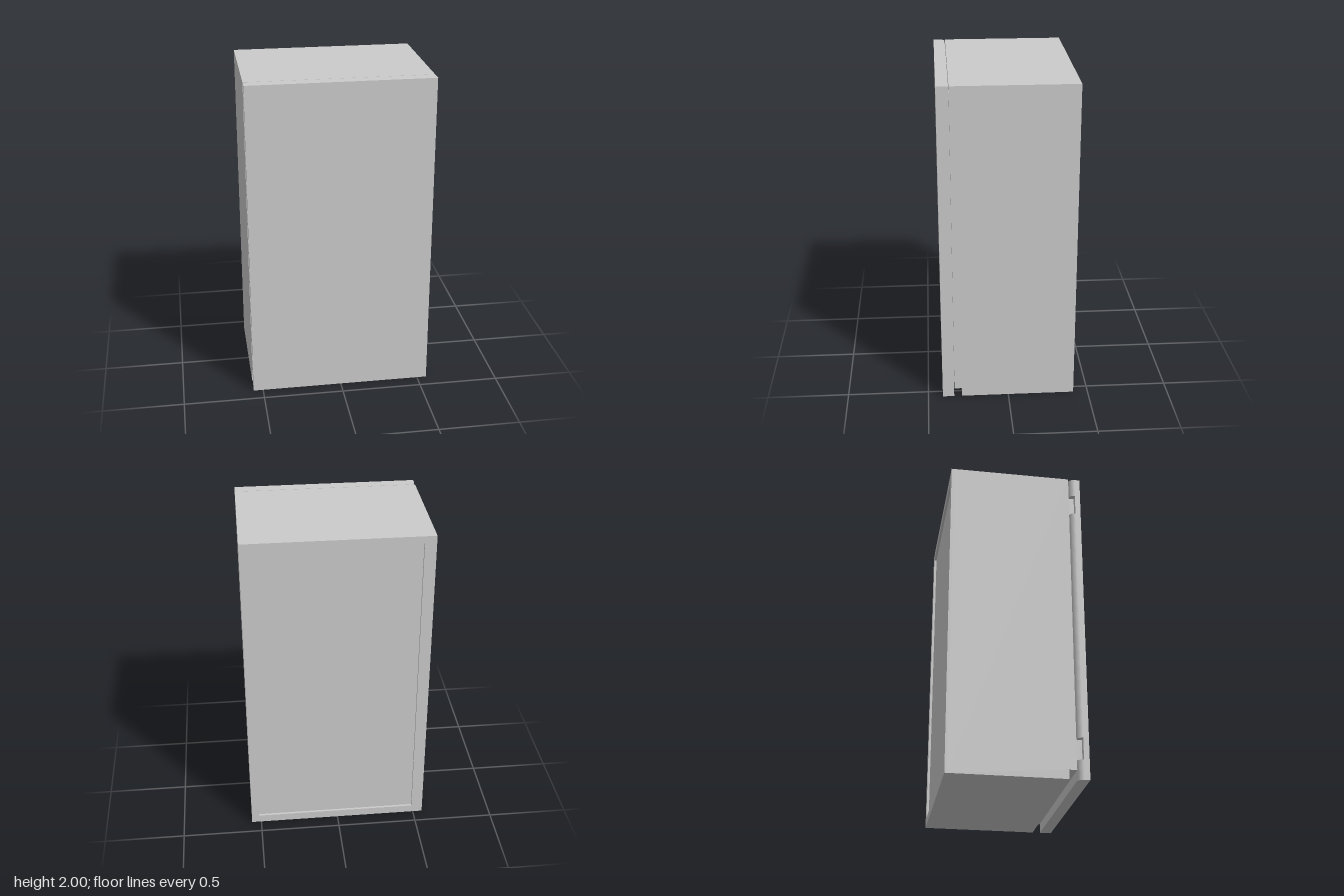
import * as THREE from 'three';

const W = 0.56, H = 2, BACK = -0.41, FRONT = 0.41;
const BODY_FRONT = 0.336, DOOR_BACK = 0.339;

export function createModel() {
  const group = new THREE.Group();
  const material = new THREE.MeshStandardMaterial({ color: 0xcccccc, flatShading: true });
  const add = (name, geometry) => {
    const mesh = new THREE.Mesh(geometry, material);
    mesh.name = name;
    group.add(mesh);
    return mesh;
  };
  const shapeOf = (points) => new THREE.Shape(points.map(([x, y]) => new THREE.Vector2(x, y)));

  // Cabinet: side profile (z, y) with the channel under its front edge, run across x
  const recess = 0.015, innerBack = BACK + recess;
  const side = shapeOf([
    [innerBack, 0], [0.29, 0], [0.29, 0.055], [BODY_FRONT, 0.055], [BODY_FRONT, H], [innerBack, H],
  ]);
  const body = new THREE.ExtrudeGeometry(side, { depth: 2 * W, bevelEnabled: false });
  body.rotateY(-Math.PI / 2).translate(W, 0, 0);
  add('cabinetBody', body);

  // Raised rim around the recessed back panel
  const rim = shapeOf([[-W, 0], [W, 0], [W, H], [-W, H]]);
  const opening = [[-0.49, 0.05], [-0.49, 1.955], [0.515, 1.955], [0.515, 0.05]];
  rim.holes.push(new THREE.Path(opening.map(([x, y]) => new THREE.Vector2(x, y))));
  const rimGeometry = new THREE.ExtrudeGeometry(rim, { depth: recess, bevelEnabled: false });
  add('backRim', rimGeometry.translate(0, 0, BACK));

  // Door plan (x, z): rounded on the hinge side, squared off deeper at the hinge pockets
  const radius = 0.038;
  const doorPlan = (pocket) => {
    const s = new THREE.Shape();
    s.moveTo(W, DOOR_BACK);
    s.lineTo(W, FRONT);
    s.lineTo(-W, FRONT);
    s.lineTo(-W, DOOR_BACK + radius);
    if (pocket) s.lineTo(-W + radius, DOOR_BACK + radius).lineTo(-W + radius, DOOR_BACK);
    else s.absarc(-W + radius, DOOR_BACK + radius, radius, Math.PI, 1.5 * Math.PI, false);
    return s;
  };
  const levels = [0, 0.12, 0.25, 1.75, 1.88, H];
  for (let i = 0; i < levels.length - 1; i++) {
    const pocket = i % 2 === 1;
    const geometry = new THREE.ExtrudeGeometry(doorPlan(pocket), {
      depth: levels[i + 1] - levels[i], bevelEnabled: false, curveSegments: 10,
    });
    geometry.rotateX(Math.PI / 2).translate(0, levels[i + 1], 0);
    add(pocket ? 'doorHingeSection' : 'doorSection', geometry);
  }

  // Gasket closing the seam between cabinet and door
  const gasket = new THREE.BoxGeometry(1.02, 1.88, 0.004);
  add('doorGasket', gasket.translate(0, 1.01, (BODY_FRONT + DOOR_BACK) / 2));

  return group;
}
